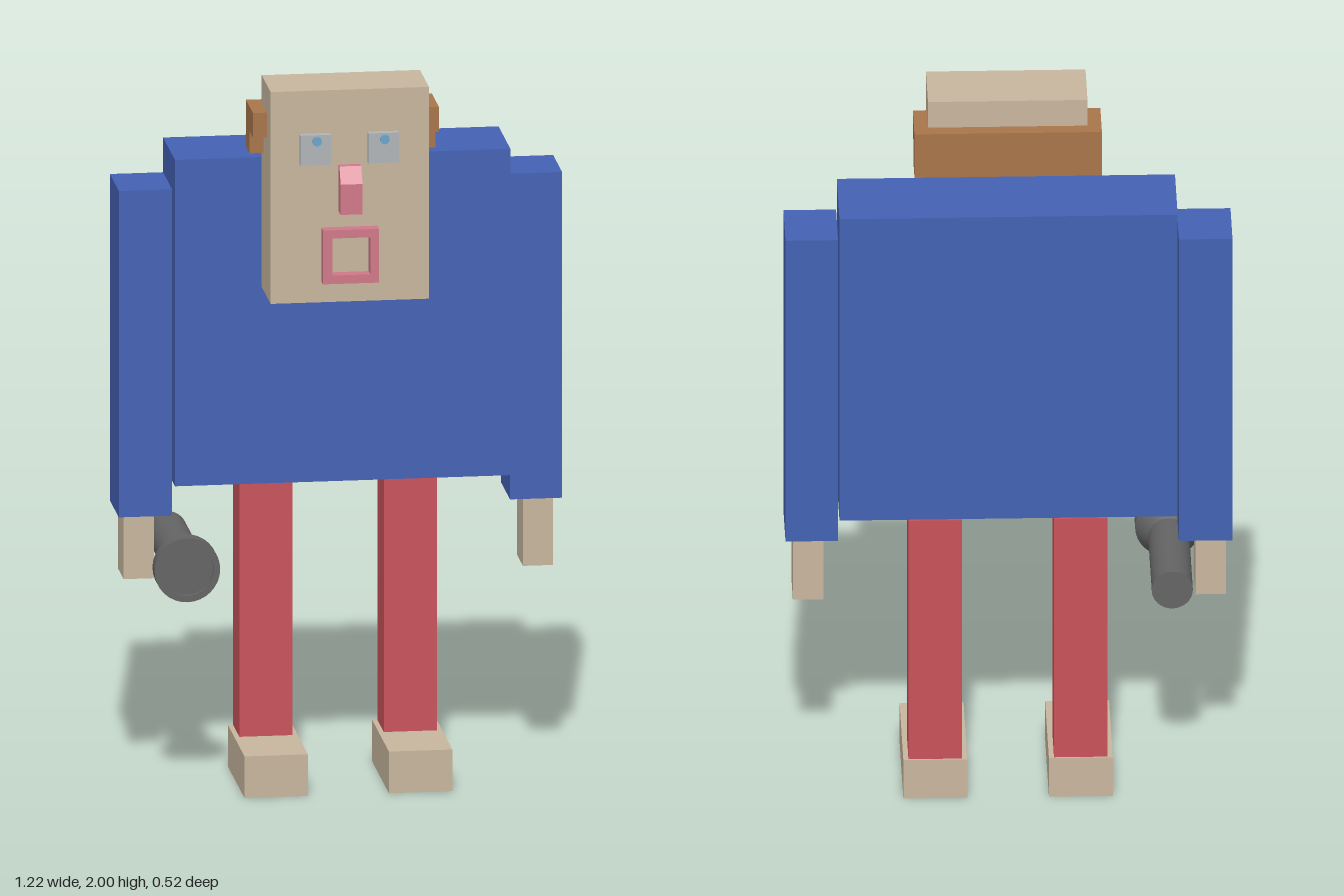
import * as THREE from 'three';

const mat = (color) => new THREE.MeshStandardMaterial({ color });

export function createModel() {
  const model = new THREE.Group();
  const skin = mat(0xc8b69e), blue = mat(0x4462b4), red = mat(0xc9525a);
  const brown = mat(0xa8754a), pink = mat(0xd07888), grey = mat(0xb0b4b8);
  const iris = mat(0x6aa5cc), metal = mat(0x646464);

  const add = (name, geometry, material) => {
    const mesh = new THREE.Mesh(geometry, material);
    mesh.name = name;
    model.add(mesh);
    return mesh;
  };
  // Box given by its extents on each axis
  const box = (name, [x0, x1], [y0, y1], [z0, z1], material) =>
    add(name, new THREE.BoxGeometry(x1 - x0, y1 - y0, z1 - z0), material)
      .position.set((x0 + x1) / 2, (y0 + y1) / 2, (z0 + z1) / 2);
  // Side profile in (z, y), extruded along x
  const sideExtrude = (name, points, x0, x1, material) => {
    const shape = new THREE.Shape(points.map(([z, y]) => new THREE.Vector2(-z, y)));
    const geometry = new THREE.ExtrudeGeometry(shape, { depth: x1 - x0, bevelEnabled: false });
    geometry.rotateY(Math.PI / 2).translate(x0, 0, 0);
    return add(name, geometry, material);
  };

  // Body and head
  box('torso', [-0.46, 0.46], [0.853, 1.77], [-0.215, 0.03], blue);
  box('head', [-0.222, 0.212], [1.405, 2], [0.03, 0.215], skin);

  // Arms and hands
  box('rightArm', [-0.61, -0.464], [0.763, 1.68], [-0.186, 0], blue);
  box('leftArm', [0.463, 0.606], [0.777, 1.692], [-0.186, 0], blue);
  box('rightHand', [-0.593, -0.51], [0.582, 0.763], [-0.15, -0.027], skin);
  box('leftHand', [0.502, 0.585], [0.582, 0.777], [-0.15, -0.027], skin);

  // Legs and feet
  for (const [side, x] of [['right', -0.197], ['left', 0.199]]) {
    box(side + 'Leg', [x - 0.073, x + 0.073], [0.117, 0.842], [-0.2, -0.07], red);
    box(side + 'Foot', [x - 0.087, x + 0.087], [0, 0.117], [-0.205, 0.142], skin);
  }

  // Hair band wrapping the back and sides of the head
  sideExtrude('hair', [[-0.01, 1.79], [0.063, 1.79], [0.063, 1.853], [0.136, 1.853],
    [0.136, 1.922], [-0.01, 1.922]], -0.26, 0.25, brown);

  // Eyes with small pupils
  for (const [side, x] of [['right', -0.101], ['left', 0.085]]) {
    box(side + 'Eye', [x - 0.042, x + 0.042], [1.796, 1.88], [0.21, 0.236], grey);
    const pupil = add(side + 'Pupil', new THREE.CylinderGeometry(0.013, 0.013, 0.012, 16), iris);
    pupil.rotation.x = Math.PI / 2;
    pupil.position.set(x + 0.003, 1.863, 0.237);
  }

  // Nose with a sloping bridge
  sideExtrude('nose', [[0.21, 1.66], [0.26, 1.66], [0.26, 1.745], [0.235, 1.79],
    [0.21, 1.79]], -0.036, 0.024, pink);

  // Mouth: a square frame
  const rect = (Type, x0, x1, y0, y1) => new Type([[x0, y0], [x1, y0], [x1, y1], [x0, y1]]
    .map(([x, y]) => new THREE.Vector2(x, y)));
  const frame = rect(THREE.Shape, -0.083, 0.071, 1.464, 1.615);
  frame.holes.push(rect(THREE.Path, -0.057, 0.047, 1.488, 1.592));
  add('mouth', new THREE.ExtrudeGeometry(frame, { depth: 0.04, bevelEnabled: false })
    .translate(0, 0, 0.21), pink);

  // Torch: separate lathed sections keep the edges between them sharp
  const torch = new THREE.Group();
  torch.name = 'torch';
  const profile = [[0, -0.262], [0.056, -0.262], [0.056, 0.063], [0.09, 0.122],
    [0.09, 0.167], [0.072, 0.167], [0.072, 0.155], [0, 0.155]];
  const names = ['endCap', 'handle', 'cone', 'headRing', 'rim', 'recess', 'lens'];
  names.forEach((name, i) => {
    const points = [profile[i], profile[i + 1]].map(([r, z]) => new THREE.Vector2(r, z));
    const section = new THREE.Mesh(new THREE.LatheGeometry(points, 32), metal);
    section.name = name;
    torch.add(section);
  });
  torch.rotation.x = Math.PI / 2;
  torch.position.set(-0.444, 0.652, 0);
  model.add(torch);

  return model;
}
